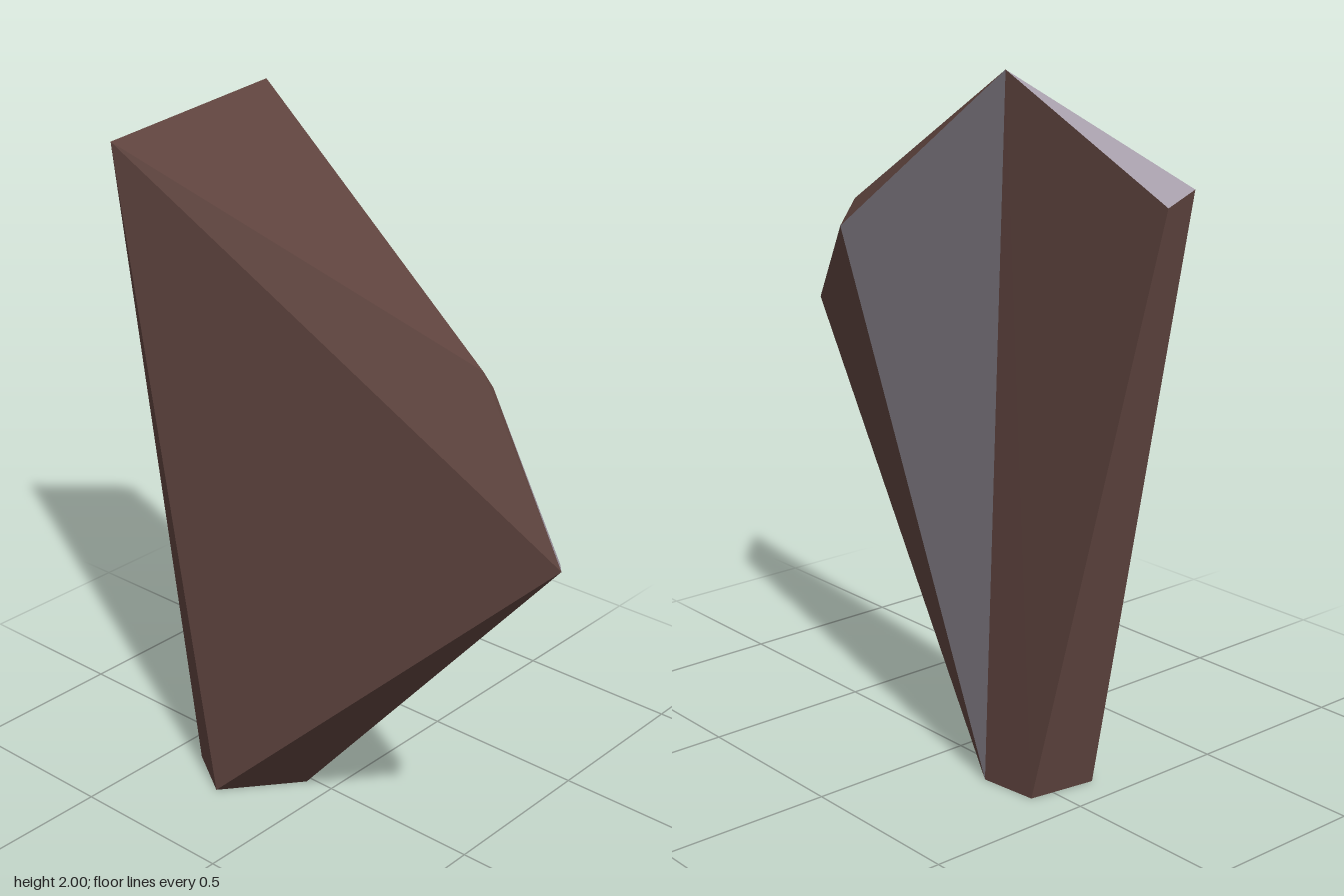
import * as THREE from 'three';

// Corners of the shard: a small five-sided foot and a slanted, chipped crown
const corners = {
  footRight: [0.09, 0, -0.21], footBackRight: [0.07, 0, -0.38], footBackLeft: [-0.13, 0, -0.41],
  footLeft: [-0.23, 0, -0.25], footFront: [-0.02, 0, -0.08],
  peak: [0.26, 2, -0.47], backTip: [0.11, 1.76, -0.955], backChip: [0.17, 1.72, -0.93],
  frontTip: [-0.26, 1.16, 0.955], frontChip: [-0.2, 1.14, 0.91],
  shoulder: [-0.01, 1.44, 0.55], ridge: [-0.08, 1.51, 0.57],
};
const point = (name) => new THREE.Vector3(...corners[name]);
const centre = new THREE.Vector3();
for (const name in corners) centre.addScaledVector(point(name), 1 / 12);

// Flat facets, each fanned from its first corner and turned to face outward
function facets(name, material, polygons) {
  const points = [];
  for (const polygon of polygons) {
    const p = polygon.split(' ').map(point);
    for (let i = 1; i < p.length - 1; i++) {
      const tri = new THREE.Triangle(p[0], p[i], p[i + 1]);
      const normal = tri.getNormal(new THREE.Vector3());
      const outward = normal.dot(p[0].clone().sub(centre)) > 0;
      points.push(...(outward ? [p[0], p[i], p[i + 1]] : [p[0], p[i + 1], p[i]]));
    }
  }
  const geometry = new THREE.BufferGeometry().setFromPoints(points);
  geometry.computeVertexNormals();
  const mesh = new THREE.Mesh(geometry, material);
  mesh.name = name;
  return mesh;
}

export function createModel() {
  const brown = new THREE.MeshStandardMaterial({ name: 'brown rock', color: 0x6b4d47 });
  const grey = new THREE.MeshStandardMaterial({ name: 'pale grey rock', color: 0xaaa2ae });
  const model = new THREE.Group();
  model.name = 'rockShard';
  model.add(
    facets('foot', brown, ['footRight footBackRight footBackLeft footLeft footFront']),
    facets('sides', brown, [
      'peak footRight footBackRight backChip',
      'backChip footBackRight footBackLeft backTip',
      'backTip footBackLeft footLeft frontTip',
      'frontTip footLeft footFront',
      'frontTip footFront footRight frontChip',
      'shoulder frontChip footRight',
    ]),
    facets('crown', brown, ['backTip peak ridge frontTip', 'peak shoulder ridge', 'ridge shoulder frontTip']),
    // Freshly broken faces
    facets('brokenSide', grey, ['peak shoulder footRight']),
    facets('brokenTips', grey, ['peak backChip backTip', 'frontTip frontChip shoulder']),
  );
  return model;
}
